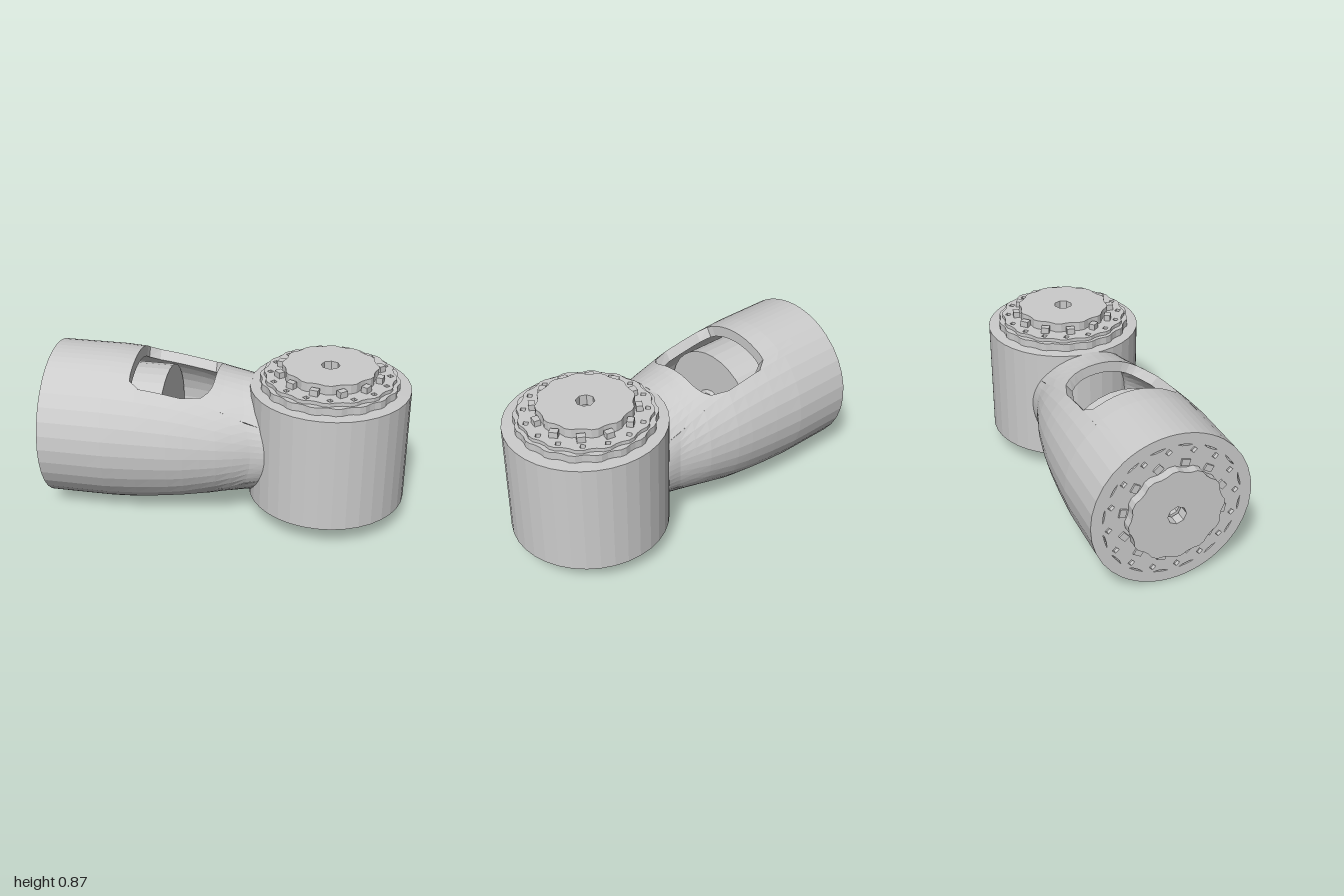
import * as THREE from 'three';

const grey = new THREE.MeshStandardMaterial({ color: 0xcccccc, flatShading: true });
const AXIS_Y = 0.435;          // height of the arm's axis
const HUB_X = 0.57;            // centre of the upright housing
const WIN = 0.26;              // half width of the arm window
const WALL = 0.06;

function add(parent, name, geometry) {
  const mesh = new THREE.Mesh(geometry, grey);
  mesh.name = name;
  parent.add(mesh);
  return mesh;
}

const lathe = (points, sides = 32) =>
  new THREE.LatheGeometry(points.map(([r, y]) => new THREE.Vector2(r, y)), sides);

// Closed ring turned around y
const ring = (r0, r1, y0, y1) =>
  lathe([[r0, y0], [r1, y0], [r1, y1], [r0, y1], [r0, y0]]);

// Regular polygon used as a hole
function polygonHole(cx, cy, r, sides) {
  const points = [];
  for (let i = 0; i < sides; i++) {
    const a = -(i / sides) * Math.PI * 2;
    points.push(new THREE.Vector2(cx + r * Math.cos(a), cy + r * Math.sin(a)));
  }
  return new THREE.Path(points);
}

// Flat plate with a notched rim, a centre bore and a circle of small square holes
function notchedPlate(r, notch, teeth, bore, holes, holeR, y0, y1) {
  const outline = [];
  const n = teeth * 4;
  for (let i = 0; i < n; i++) {
    const a = (i / n) * Math.PI * 2;
    const rr = i % 4 < 2 ? r : r - notch;
    outline.push(new THREE.Vector2(rr * Math.cos(a), rr * Math.sin(a)));
  }
  const shape = new THREE.Shape(outline);
  shape.holes.push(polygonHole(0, 0, bore, bore < 0.1 ? 8 : 32));
  for (let i = 0; i < holes; i++) {
    const a = ((i + 0.25) / holes) * Math.PI * 2;
    shape.holes.push(polygonHole(holeR * Math.cos(a), holeR * Math.sin(a), 0.018, 4));
  }
  const g = new THREE.ExtrudeGeometry(shape, { depth: y1 - y0, bevelEnabled: false });
  return g.rotateX(-Math.PI / 2).translate(0, y0, 0);
}

// Actuator along y, output face at y = 0
function actuator(name, flangeR, length, studH) {
  const g = new THREE.Group();
  g.name = name;
  add(g, 'outputDisc', notchedPlate(0.255, 0.012, 12, 0.05, 0, 0, -0.06, 0));
  add(g, 'flange', notchedPlate(flangeR, 0.012, 16, 0.24, 16, flangeR - 0.035, -0.075, -0.05));
  add(g, 'flangeBase', notchedPlate(0.372, 0.01, 18, 0.045, 0, 0, -0.115, -0.07));
  add(g, 'body', ring(0.045, 0.335, -length, -0.1));
  for (let i = 0; i < 12; i++) {
    const a = (i / 12) * Math.PI * 2 + 0.2;
    const stud = add(g, 'rimStud', new THREE.BoxGeometry(0.035, studH, 0.045));
    stud.position.set(0.272 * Math.cos(a), -0.052 + studH / 2, 0.272 * Math.sin(a));
    stud.rotation.y = -a + (i % 3) * 0.2;
  }
  return g;
}

// Arm half width and half height along x
const STATIONS = [[-0.95, 0.43, 0.43], [-0.6, 0.43, 0.43], [-0.4, 0.417, 0.42], [-0.2, 0.398, 0.395],
  [0, 0.36, 0.348], [0.12, 0.325, 0.328], [0.2, 0.3, 0.32], [0.3, 0.3, 0.318]];
function section(x) {
  let i = 0;
  while (i < STATIONS.length - 2 && x > STATIONS[i + 1][0]) i++;
  const [p, q] = [STATIONS[i], STATIONS[i + 1]];
  const t = THREE.MathUtils.clamp((x - p[0]) / (q[0] - p[0]), 0, 1);
  return [1, 2].map(k => p[k] + (q[k] - p[k]) * t);
}

// Curved wall panel: a box wrapped around the arm's axis
function armPanel(angle, start, end, nx, nt) {
  const g = new THREE.BoxGeometry(1, 1, 1, nx, 1, nt);
  const pos = g.attributes.position;
  for (let i = 0; i < pos.count; i++) {
    const w = pos.getZ(i) + 0.5;
    const x = THREE.MathUtils.lerp(start(w), end(w), pos.getX(i) + 0.5);
    const [a, b] = section(x);
    const inset = WALL * (0.5 - pos.getY(i));
    const th = angle(Math.asin(WIN / a), w);
    pos.setXYZ(i, x, AXIS_Y + (b - inset) * Math.cos(th), (a - inset) * Math.sin(th));
  }
  g.computeVertexNormals();
  return g;
}

function buildArm() {
  const arm = new THREE.Group();
  arm.name = 'arm';
  // Rounded corner inset of the window edge
  const corner = (w, r) => {
    const d = Math.max(0, WIN * Math.abs(2 * w - 1) - (WIN - r));
    return r - Math.sqrt(Math.max(0, r * r - d * d));
  };
  const winLeft = w => -0.48 + corner(w, 0.06);
  const winRight = w => -0.04 - corner(w, 0.15);
  const tail = () => -0.95;
  // The arm ends follow the round housing
  const joint = angle => w => {
    const z = 0.3 * Math.sin(angle(Math.asin(WIN / 0.3), w));
    return HUB_X - Math.sqrt(0.42 ** 2 - z * z);
  };
  for (const [name, base] of [['top', 0], ['bottom', Math.PI]]) {
    const angle = (e, w) => base + e * (2 * w - 1);
    add(arm, name + 'RearWall', armPanel(angle, tail, winLeft, 4, 14));
    add(arm, name + 'FrontWall', armPanel(angle, winRight, joint(angle), 4, 14));
  }
  for (const [name, base] of [['left', 0], ['right', Math.PI]]) {
    const angle = (e, w) => base + e + (Math.PI - 2 * e) * w;
    add(arm, name + 'SideWall', armPanel(angle, tail, joint(angle), 14, 10));
  }
  return arm;
}

// Finned wheel under the upright housing
function buildWheel() {
  const wheel = new THREE.Group();
  wheel.name = 'finnedWheel';
  add(wheel, 'wheelRim', notchedPlate(0.31, 0.012, 16, 0.265, 0, 0, 0.095, 0.24));
  add(wheel, 'wheelDish', lathe([[0.1, 0.1], [0.28, 0.16], [0.28, 0.2], [0.1, 0.2], [0.1, 0.1]]));
  add(wheel, 'wheelHub', lathe([[0.05, 0.003], [0.075, 0.004], [0.12, 0.014], [0.12, 0.21], [0.05, 0.21], [0.05, 0.003]], 12));
  const fin = new THREE.Shape([[0.1, 0.014], [0.13, 0.016], [0.275, 0.092], [0.275, 0.18], [0.1, 0.18]]
    .map(([x, y]) => new THREE.Vector2(x, y)));
  for (let i = 0; i < 10; i++) {
    const g = new THREE.ExtrudeGeometry(fin, { depth: 0.03, bevelEnabled: false }).translate(0, 0, -0.015);
    add(wheel, 'wheelFin', g).rotation.y = ((i + 0.5) / 10) * Math.PI * 2;
  }
  return wheel;
}

export function createModel() {
  const model = new THREE.Group();
  model.name = 'jointLink';
  model.add(buildArm());

  // Upright housing, open below
  const housing = add(model, 'housing', lathe([[0.395, 0.117], [0.43, 0.117], [0.43, 0.757],
    [0.33, 0.762], [0.33, 0.72], [0.395, 0.72], [0.395, 0.117]], 36));
  housing.position.x = HUB_X;

  const upright = actuator('uprightActuator', 0.352, 0.67, 0.035);
  upright.position.set(HUB_X - 0.005, 0.872, 0);
  model.add(upright);

  const wheel = buildWheel();
  wheel.position.x = HUB_X;
  model.add(wheel);

  // Actuator in the arm, with its rear flange and shaft stub
  const inner = actuator('armActuator', 0.374, 0.69, 0.012);
  inner.rotation.z = Math.PI / 2;
  inner.position.set(-1, AXIS_Y, 0);
  add(inner, 'rearFlange', new THREE.CylinderGeometry(0.11, 0.09, 0.02, 16)).position.y = -0.695;
  add(inner, 'shaftStub', new THREE.CylinderGeometry(0.04, 0.04, 0.09, 8)).position.y = -0.725;
  model.add(inner);

  return model;
}
